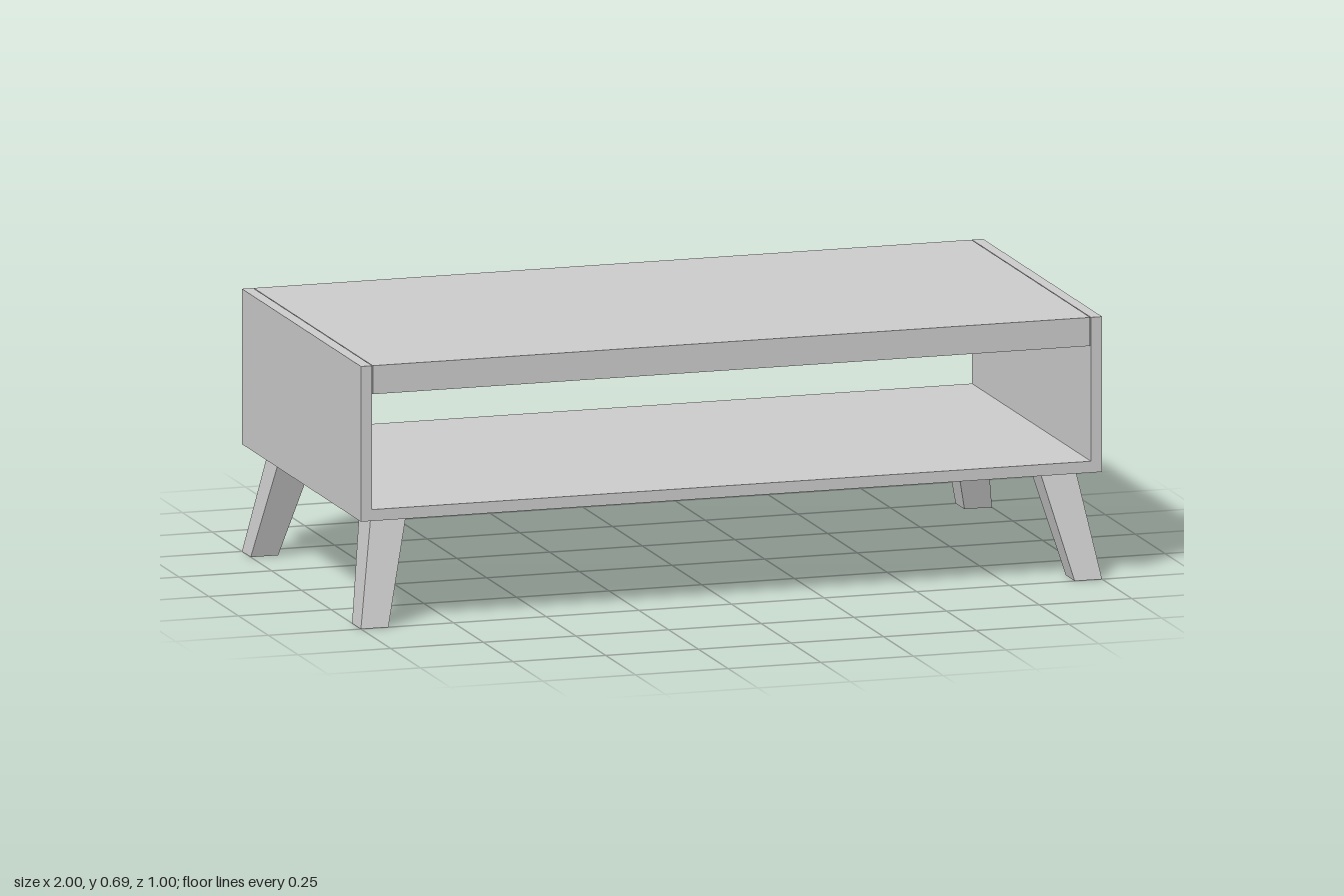
import * as THREE from 'three';

const material = new THREE.MeshStandardMaterial({ color: 0xcccccc, flatShading: true });

// Box given by its minimum and maximum corners
function board(name, [x0, y0, z0], [x1, y1, z1]) {
  const geometry = new THREE.BoxGeometry(x1 - x0, y1 - y0, z1 - z0);
  geometry.translate((x0 + x1) / 2, (y0 + y1) / 2, (z0 + z1) / 2);
  const mesh = new THREE.Mesh(geometry, material);
  mesh.name = name;
  return mesh;
}

// Tapered square leg, splayed outwards towards the corner (sx, sz)
function leg(name, sx, sz) {
  const height = 0.282;
  const top = { size: 0.096, x: 0.902, z: 0.38 };
  const foot = { size: 0.074, x: 0.963, z: 0.463 };
  const geometry = new THREE.BoxGeometry(1, height, 1);
  geometry.translate(0, height / 2, 0);
  const p = geometry.attributes.position;
  for (let i = 0; i < p.count; i++) {
    const end = p.getY(i) > height / 2 ? top : foot;
    p.setX(i, sx * end.x + p.getX(i) * end.size);
    p.setZ(i, sz * end.z + p.getZ(i) * end.size);
  }
  geometry.computeVertexNormals();
  const mesh = new THREE.Mesh(geometry, material);
  mesh.name = name;
  return mesh;
}

export function createModel() {
  const table = new THREE.Group();
  table.name = 'coffeeTable';

  // Case: thick top between two side panels, with an open shelf below
  table.add(
    board('tableTop', [-0.968, 0.615, -0.5], [0.968, 0.69, 0.5]),
    board('bottomShelf', [-0.97, 0.282, -0.5], [0.97, 0.312, 0.5]),
    board('rightSidePanel', [-1, 0.282, -0.5], [-0.97, 0.69, 0.5]),
    board('leftSidePanel', [0.97, 0.282, -0.5], [1, 0.69, 0.5])
  );

  // Four splayed legs
  for (const [side, sx] of [['Left', 1], ['Right', -1]]) {
    table.add(leg('front' + side + 'Leg', sx, 1), leg('back' + side + 'Leg', sx, -1));
  }
  return table;
}
